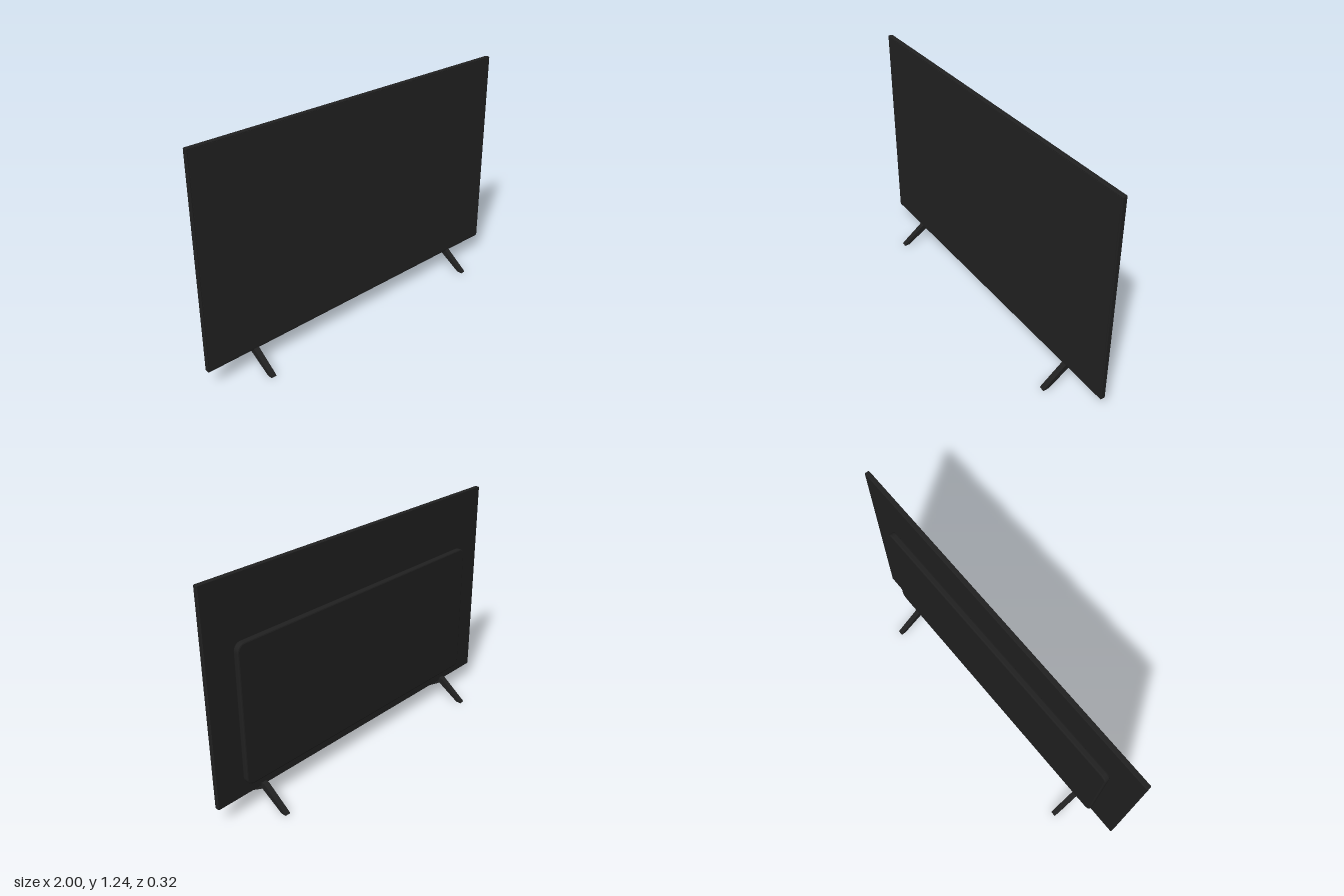
import * as THREE from 'three';

// Rounded rectangle outline centred on the origin
function roundedRect(w, h, r) {
  const s = new THREE.Shape();
  const x = w / 2, y = h / 2;
  s.moveTo(-x + r, -y);
  s.lineTo(x - r, -y);
  s.absarc(x - r, -y + r, r, -Math.PI / 2, 0);
  s.lineTo(x, y - r);
  s.absarc(x - r, y - r, r, 0, Math.PI / 2);
  s.lineTo(-x + r, y);
  s.absarc(-x + r, y - r, r, Math.PI / 2, Math.PI);
  s.lineTo(-x, -y + r);
  s.absarc(-x + r, -y + r, r, Math.PI, Math.PI * 1.5);
  return s;
}

// Slab with softened edges, spanning z0..z1
function slab(w, h, r, z0, z1, bevel) {
  const geo = new THREE.ExtrudeGeometry(roundedRect(w - 2 * bevel, h - 2 * bevel, r), {
    depth: z1 - z0 - 2 * bevel, bevelEnabled: true, bevelThickness: bevel,
    bevelSize: bevel, bevelSegments: 2, curveSegments: 6,
  });
  return geo.translate(0, 0, z0 + bevel);
}

export function createModel() {
  const casing = new THREE.MeshStandardMaterial({ color: 0x202020 });
  const glass = new THREE.MeshStandardMaterial({ color: 0x222222 });
  casing.name = 'charcoal casing';
  glass.name = 'dark screen';

  const model = new THREE.Group();
  model.name = 'television';
  const add = (name, geo, mat, x, y, z) => {
    const mesh = new THREE.Mesh(geo, mat);
    mesh.name = name;
    mesh.position.set(x, y, z);
    model.add(mesh);
  };

  // Thin display panel, with the screen set above a slim lower bezel
  add('panel', slab(2, 1.14, 0.003, 0.004, 0.029, 0.003), casing, 0, 0.67, 0);
  add('screen', new THREE.BoxGeometry(1.984, 1.122, 0.002), glass, 0, 0.673, 0.029);

  // Electronics housing on the back
  add('backHousing', slab(1.68, 0.755, 0.035, -0.027, 0.006, 0.007), casing, 0, 0.5425, 0);

  // Two splayed feet, drawn in profile (z, y)
  const profile = new THREE.Shape([
    [-0.162, 0], [-0.132, 0], [0, 0.082], [0.132, 0], [0.162, 0],
    [0.155, 0.008], [0.014, 0.115], [-0.014, 0.115], [-0.155, 0.008],
  ].map(([z, y]) => new THREE.Vector2(z, y)));
  const legGeo = new THREE.ExtrudeGeometry(profile, { depth: 0.03, bevelEnabled: false });
  legGeo.translate(0, 0, -0.015).rotateY(Math.PI / 2);
  for (const [name, side] of [['leftLeg', 1], ['rightLeg', -1]]) {
    add(name, legGeo, casing, side * 0.717, 0, 0);
  }
  return model;
}
